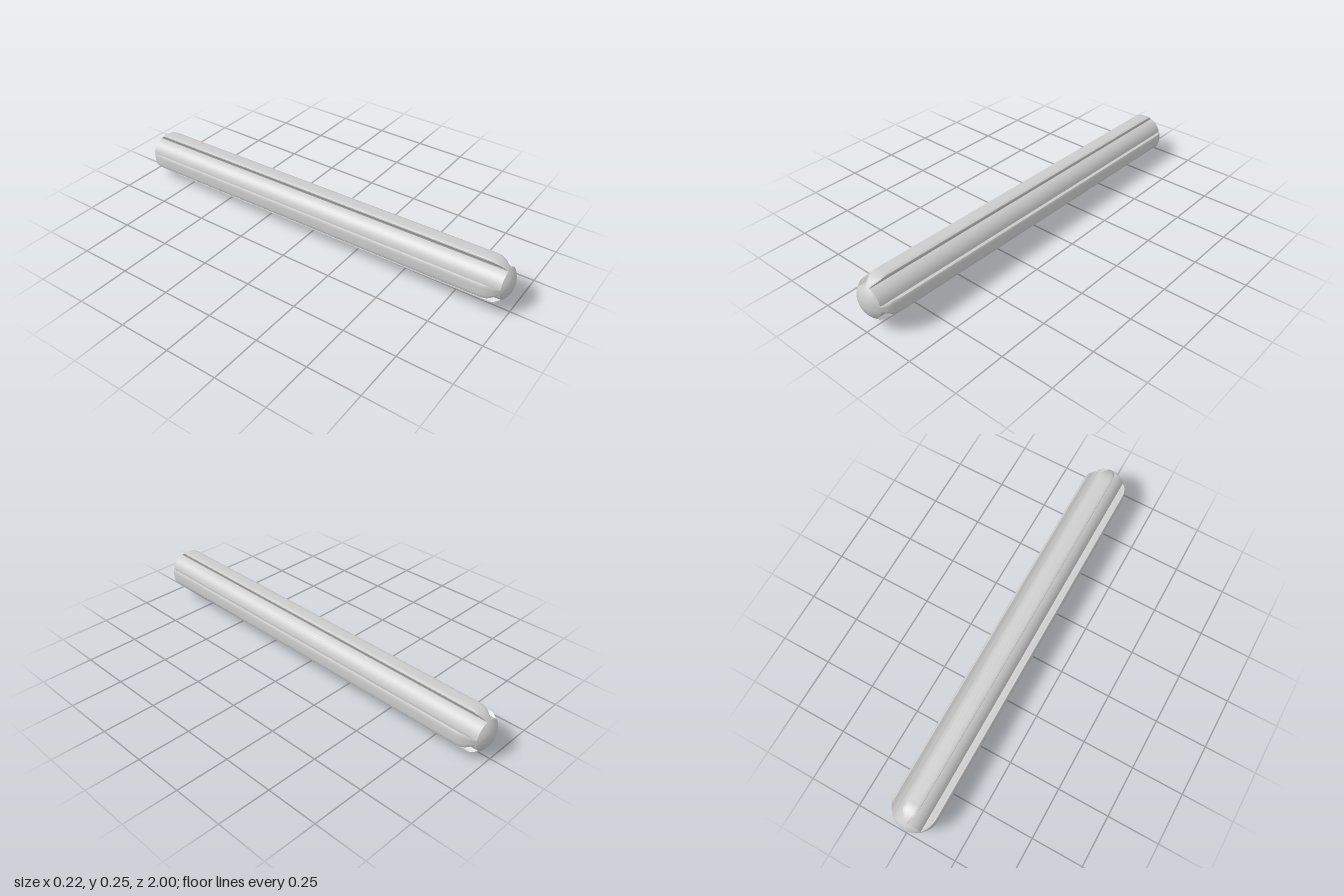
import * as THREE from 'three';
import { toCreasedNormals } from 'three/addons/utils/BufferGeometryUtils.js';

const OUTER = 0.109, CORE = 0.073, END = 0.891; // rib radius, core radius, start of the round ends
const grey = () => new THREE.MeshStandardMaterial({ color: 0xcccccc });

// Round bar with a spherical cap on each end
function coreGeometry() {
  const pts = [];
  const edge = Math.asin(CORE / OUTER);
  for (let i = 0; i <= 7; i++) {
    const a = (edge * i) / 7;
    pts.push(new THREE.Vector2(OUTER * Math.sin(a), -END - OUTER * Math.cos(a)));
  }
  const mirrored = pts.slice().reverse().map((p) => new THREE.Vector2(p.x, -p.y));
  const g = new THREE.LatheGeometry([...pts, ...mirrored], 40);
  g.rotateX(Math.PI / 2);
  return toCreasedNormals(g, 0.5);
}

// Half width of a rib at radius r: narrow neck flaring to the outer face
function halfWidth(r) {
  const t = THREE.MathUtils.clamp((r - 0.07) / 0.029, 0, 1);
  return 0.013 + 0.02 * t * (0.6 + 0.4 * t);
}

// Open-bottomed rib section, from the right foot over the top to the left foot
function ribSection(R) {
  const half = [];
  const top = R - 0.004;
  for (let i = 0; i <= 8; i++) {
    const r = THREE.MathUtils.lerp(0.055, top, i / 8);
    half.push([halfWidth(r), r]);
  }
  const w = halfWidth(top);
  half.push([w * 0.9, R - 0.0015], [w * 0.5, R - 0.0003]);
  return [...half, [0, R], ...half.slice().reverse().map(([x, y]) => [-x, y])];
}

// Rib lofted along z, its height following the spherical ends
function ribGeometry() {
  const zs = [];
  const steps = 10, last = Math.acos(0.062 / OUTER);
  for (let i = steps; i >= 0; i--) zs.push(-END - OUTER * Math.sin((last * i) / steps));
  zs.push(...zs.slice().reverse().map((z) => -z));
  const pos = [], index = [];
  let n = 0;
  zs.forEach((z) => {
    const d = Math.max(0, Math.abs(z) - END);
    const section = ribSection(Math.sqrt(OUTER * OUTER - d * d));
    n = section.length;
    section.forEach(([x, y]) => pos.push(x, y, z));
  });
  for (let i = 0; i < zs.length - 1; i++) {
    for (let j = 0; j < n - 1; j++) {
      const a = i * n + j, b = a + 1, c = a + n, d = c + 1;
      index.push(a, b, c, b, d, c);
    }
  }
  // Flip so faces look outward
  for (let i = 0; i < index.length; i += 3) [index[i + 1], index[i + 2]] = [index[i + 2], index[i + 1]];
  const g = new THREE.BufferGeometry();
  g.setAttribute('position', new THREE.Float32BufferAttribute(pos, 3));
  g.setIndex(index);
  return toCreasedNormals(g, 0.6);
}

export function createModel() {
  const model = new THREE.Group();
  model.name = 'ribbedRod';

  // Rod lies along z with its front end slightly raised
  const rod = new THREE.Group();
  rod.name = 'rod';
  rod.position.y = 0.124;
  rod.rotation.x = -0.016;
  model.add(rod);

  const core = new THREE.Mesh(coreGeometry(), grey());
  core.name = 'core';
  rod.add(core);

  // Four ribs around the core
  const geometry = ribGeometry();
  ['topRib', 'leftRib', 'bottomRib', 'rightRib'].forEach((name, i) => {
    const rib = new THREE.Mesh(geometry, grey());
    rib.material.side = THREE.DoubleSide;
    rib.name = name;
    rib.rotation.z = (-i * Math.PI) / 2;
    rod.add(rib);
  });
  return model;
}
